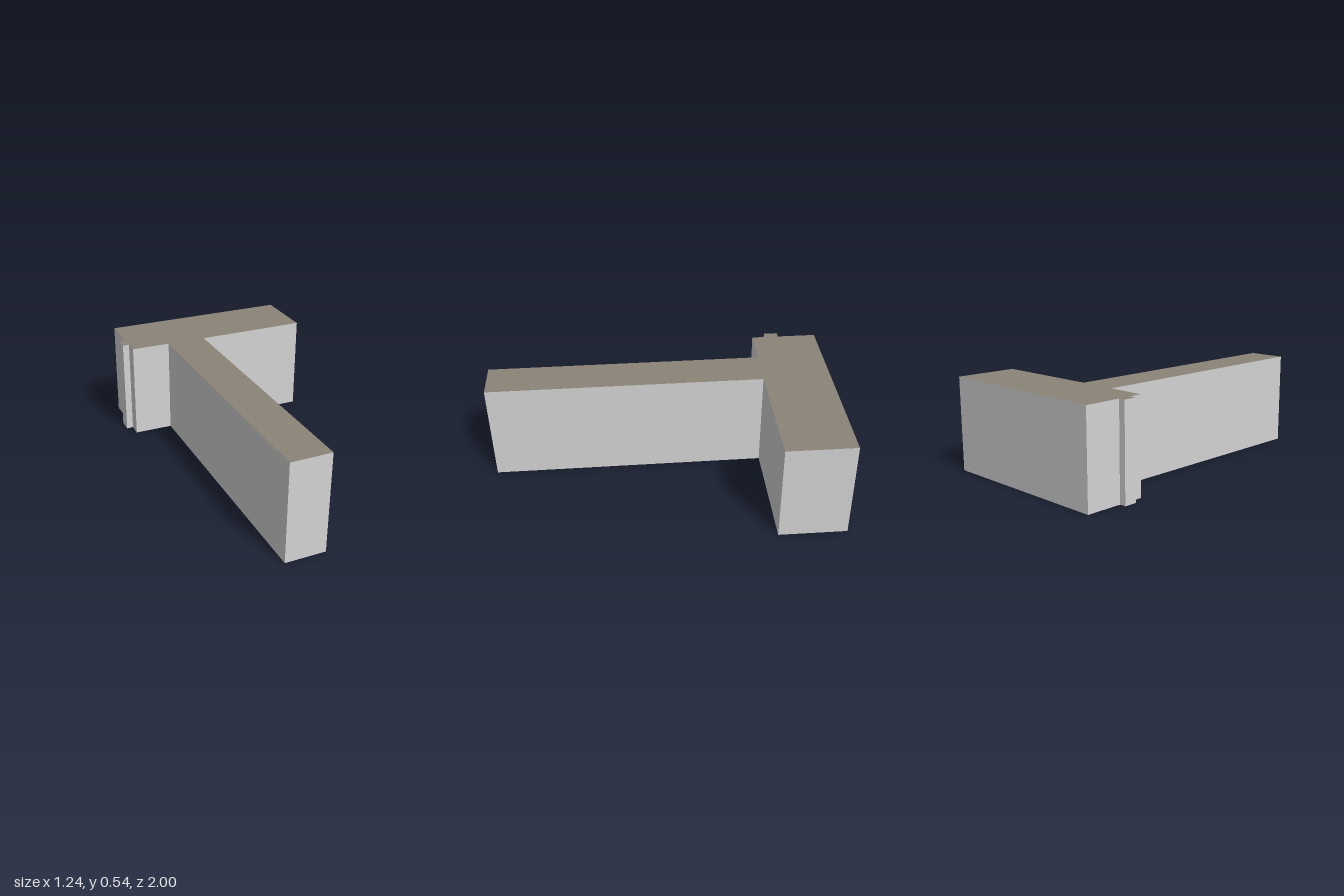
import * as THREE from 'three';

const HEIGHT = 0.535;

// Floor plan as (x, z) corners: a broad block, a long wing and a small side projection
const PLAN = [
  [-0.62, -0.505], [0.31, -1], [0.475, -0.685], [-0.07, -0.39],
  [0.617, 0.895], [0.425, 1], [-0.264, -0.29], [-0.454, -0.19],
  [-0.488, -0.255], [-0.52, -0.237], [-0.555, -0.302], [-0.522, -0.32],
];

export function createModel() {
  const wall = new THREE.MeshStandardMaterial({ color: 0xd3d3d3 });
  wall.name = 'light grey wall';
  const roof = new THREE.MeshStandardMaterial({ color: 0x8b8378 });
  roof.name = 'brown grey roof';

  const shape = new THREE.Shape(PLAN.map(([x, z]) => new THREE.Vector2(x, -z)));
  const geometry = new THREE.ExtrudeGeometry(shape, { depth: HEIGHT, bevelEnabled: false });
  geometry.rotateX(-Math.PI / 2);

  // The caps come first: floor, then flat roof, followed by the walls
  const [caps, sides] = geometry.groups;
  const half = caps.count / 2;
  geometry.clearGroups();
  geometry.addGroup(0, half, 0);
  geometry.addGroup(half, half, 1);
  geometry.addGroup(sides.start, sides.count, 0);

  const building = new THREE.Mesh(geometry, [wall, roof]);
  building.name = 'flatRoofedBuilding';

  const model = new THREE.Group();
  model.name = 'building';
  model.add(building);
  return model;
}
